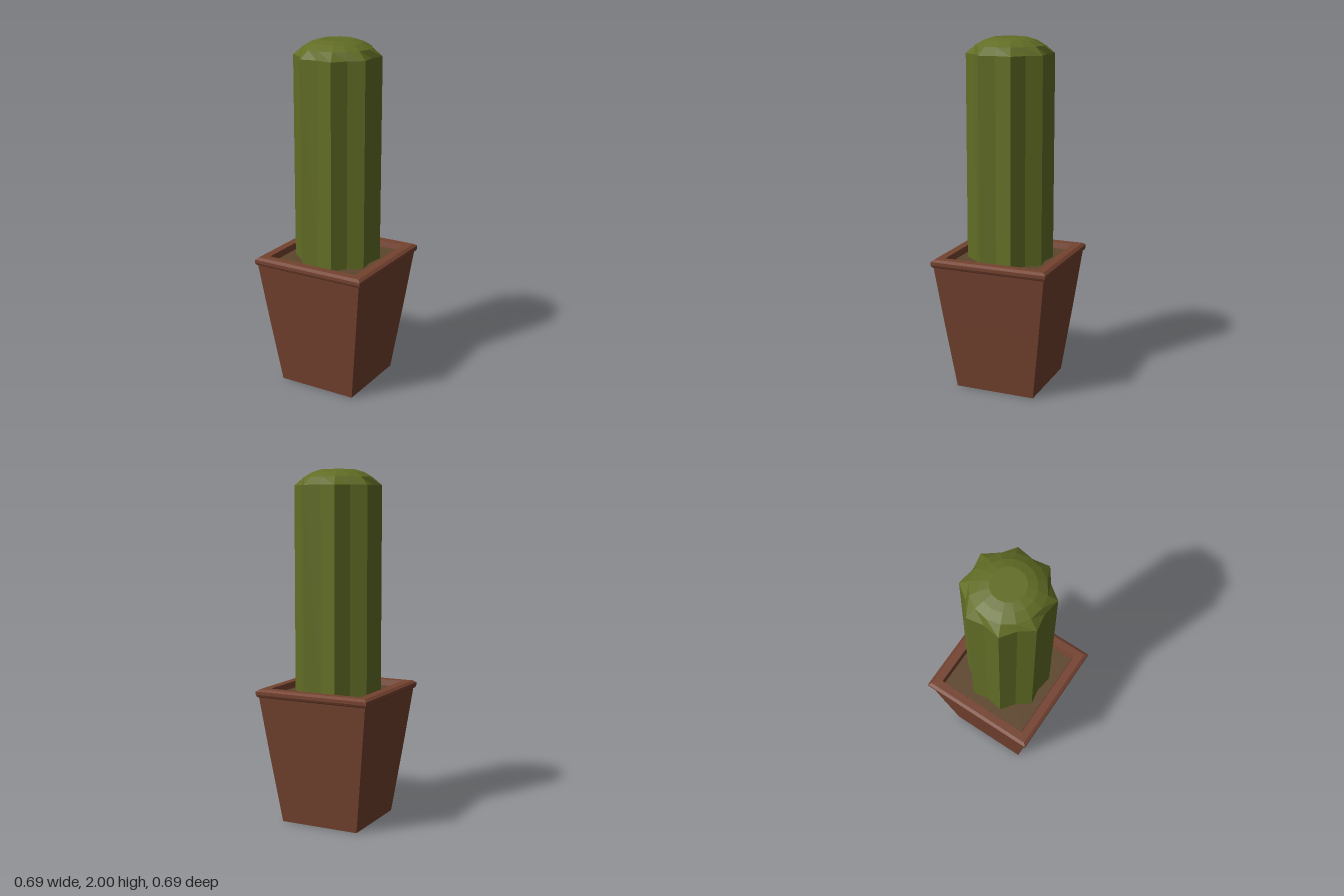
import * as THREE from 'three';

// Faceted solid of revolution; profile is a list of [radius, height] from bottom to top
function turned(profile, sides, phiStart = 0) {
  const points = profile.map(([r, y]) => new THREE.Vector2(r, y));
  return new THREE.LatheGeometry(points, sides, phiStart);
}

function addPart(group, name, geometry, color) {
  const material = new THREE.MeshStandardMaterial({ color, flatShading: true });
  const mesh = new THREE.Mesh(geometry, material);
  mesh.name = name;
  group.add(mesh);
}

// Square cross-sections: half widths are turned into corner radii
function square(profile) {
  return turned(profile.map(([h, y]) => [h * Math.SQRT2, y]), 4, Math.PI / 4);
}

// Ribbed column: every second vertex below the dome is pushed out into a ridge
function ribbedColumn() {
  const shoulder = 1.912, valley = 0.212, ridge = 0.246;
  const profile = [
    [valley, 0.74], [valley, shoulder],
    [0.193, 1.957], [0.145, 1.985], [0.095, 2], [0, 2],
  ];
  const geometry = turned(profile, 16);
  const pos = geometry.attributes.position;
  for (let i = 0; i < pos.count; i++) {
    const segment = Math.floor(i / profile.length);
    if (segment % 2 === 1 && pos.getY(i) < shoulder + 0.001) {
      const s = ridge / valley;
      pos.setXYZ(i, pos.getX(i) * s, pos.getY(i), pos.getZ(i) * s);
    }
  }
  return geometry;
}

export function createModel() {
  const group = new THREE.Group();
  group.name = 'pottedCactus';

  // Tapered pot with a closed base
  addPart(group, 'pot', square([[0, 0], [0.235, 0], [0.288, 0.4], [0.33, 0.735]]), 0x74422f);

  // Bevelled rim, running over the top and down the inside
  addPart(group, 'potRim', square([
    [0.325, 0.73], [0.338, 0.738], [0.343, 0.75], [0.343, 0.768],
    [0.326, 0.78], [0.28, 0.78], [0.27, 0.74],
  ]), 0x74422f);

  // Soil surface
  const soil = new THREE.PlaneGeometry(0.544, 0.544).rotateX(-Math.PI / 2).translate(0, 0.745, 0);
  addPart(group, 'soil', soil, 0x5c452c);

  addPart(group, 'cactus', ribbedColumn(), 0x626d25);
  return group;
}
